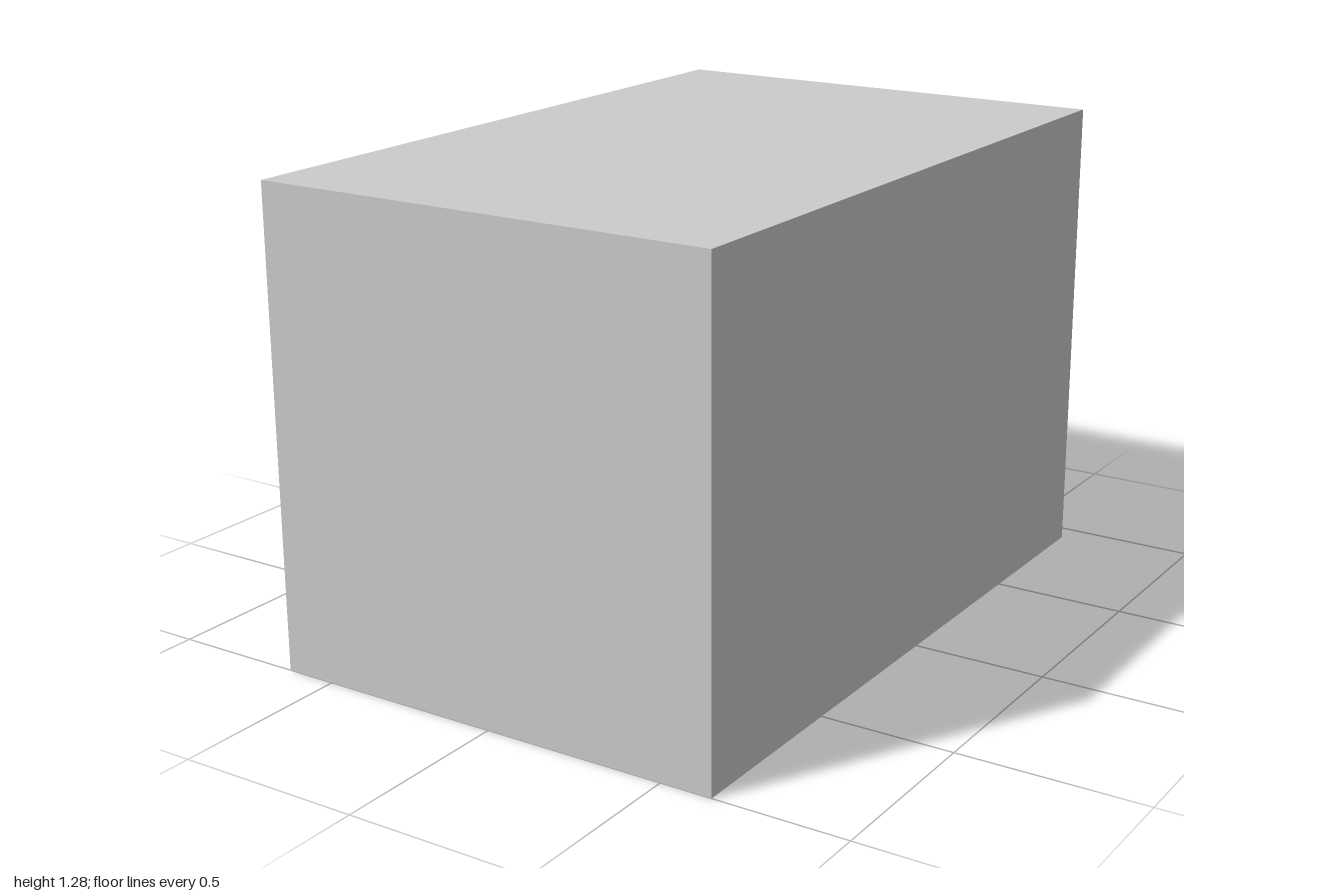
import * as THREE from 'three';

const grey = new THREE.MeshStandardMaterial({ color: 0xcccccc, flatShading: true });
const cyan = new THREE.MeshStandardMaterial({ color: 0x00d0d0, flatShading: true });
const yellow = new THREE.MeshStandardMaterial({ color: 0xd0a000, flatShading: true });

const CENTER_Y = 0.64;

// Skins matching rings of points, listed from +z towards -z, each counter-clockwise seen from +z
function loft(rings) {
  const positions = [];
  for (let r = 0; r < rings.length - 1; r++) {
    const a = rings[r], b = rings[r + 1];
    for (let i = 0; i < a.length; i++) {
      const j = (i + 1) % a.length;
      if (!a[i].equals(a[j])) positions.push(...a[i], ...b[j], ...a[j]);
      if (!b[i].equals(b[j])) positions.push(...a[i], ...b[i], ...b[j]);
    }
  }
  const geometry = new THREE.BufferGeometry();
  geometry.setAttribute('position', new THREE.Float32BufferAttribute(positions, 3));
  geometry.computeVertexNormals();
  return geometry;
}

// Rectangular ring with half width, half height and depth
const rectangle = ([w, h, z]) =>
  [[1, 1], [-1, 1], [-1, -1], [1, -1]].map(([sx, sy]) => new THREE.Vector3(sx * w, sy * h, z));

function addMesh(parent, name, geometry, material) {
  const mesh = new THREE.Mesh(geometry, material);
  mesh.name = name;
  parent.add(mesh);
  return mesh;
}

export function createModel() {
  const model = new THREE.Group();
  model.name = 'displayBox';
  const box = new THREE.Group();
  box.name = 'box';
  box.position.y = CENTER_Y;
  model.add(box);

  // Closed front, straight sides and bevelled back edge
  const shell = [[0, 1], [0.64, 1], [0.64, -0.93], [0.605, -0.972]];
  addMesh(box, 'shell', loft(shell.map(([s, z]) => rectangle([s, s, z]))), grey);

  // Rim around the back opening, with a groove running round it
  const rim = [
    [0.605, -0.972], [0.592, -0.972], [0.592, -0.957], [0.565, -0.957],
    [0.565, -0.972], [0.55, -0.972], [0.54, -0.92],
  ];
  addMesh(box, 'backRim', loft(rim.map(([s, z]) => rectangle([s, s, z]))), grey);

  // Stepped, funnel-like back panel
  const panel = [
    [0.54, 0.54, -0.92], [0.435, 0.42, -0.91], [0.43, 0.415, -0.9],
    [0.325, 0.295, -0.89], [0.32, 0.29, -0.88],
    [0.215, 0.17, -0.87], [0.21, 0.165, -0.86], [0.1, 0.045, -0.85],
  ];
  addMesh(box, 'backPanel', loft(panel.map(rectangle)), grey);

  // Framed socket in the middle of the panel
  const socket = [
    [0.1, 0.045, -0.85], [0.1, 0.045, -0.868], [0.08, 0.028, -0.868],
    [0.08, 0.028, -0.83], [0, 0, -0.83],
  ];
  addMesh(box, 'socket', loft(socket.map(rectangle)), grey);

  // Coloured strips in the groove, along the top and one side
  const topStrip = addMesh(box, 'topStrip', new THREE.BoxGeometry(1.12, 0.014, 0.012), yellow);
  topStrip.position.set(0, 0.579, -0.963);
  const sideStrip = addMesh(box, 'sideStrip', new THREE.BoxGeometry(0.014, 1.12, 0.012), yellow);
  sideStrip.position.set(-0.579, 0, -0.963);

  // Tapered corner brackets
  const foot = [[0.61, 0.61], [0.5, 0.605], [0.51, 0.575], [0.56, 0.56], [0.575, 0.51], [0.605, 0.5]];
  const top = [[0.598, 0.598], [0.53, 0.595], [0.535, 0.578], [0.57, 0.57], [0.578, 0.535], [0.595, 0.53]];
  const ring = (points, z) => points.map(([x, y]) => new THREE.Vector3(x, y, z));
  const tip = ring(top.map(() => top[0]), -1);
  const bracket = loft([ring(foot, -0.95), ring(foot, -0.975), ring(top, -1), tip]);
  for (let i = 0; i < 4; i++) {
    addMesh(box, 'cornerBracket', bracket, cyan).rotation.z = i * Math.PI / 2;
  }

  return model;
}
